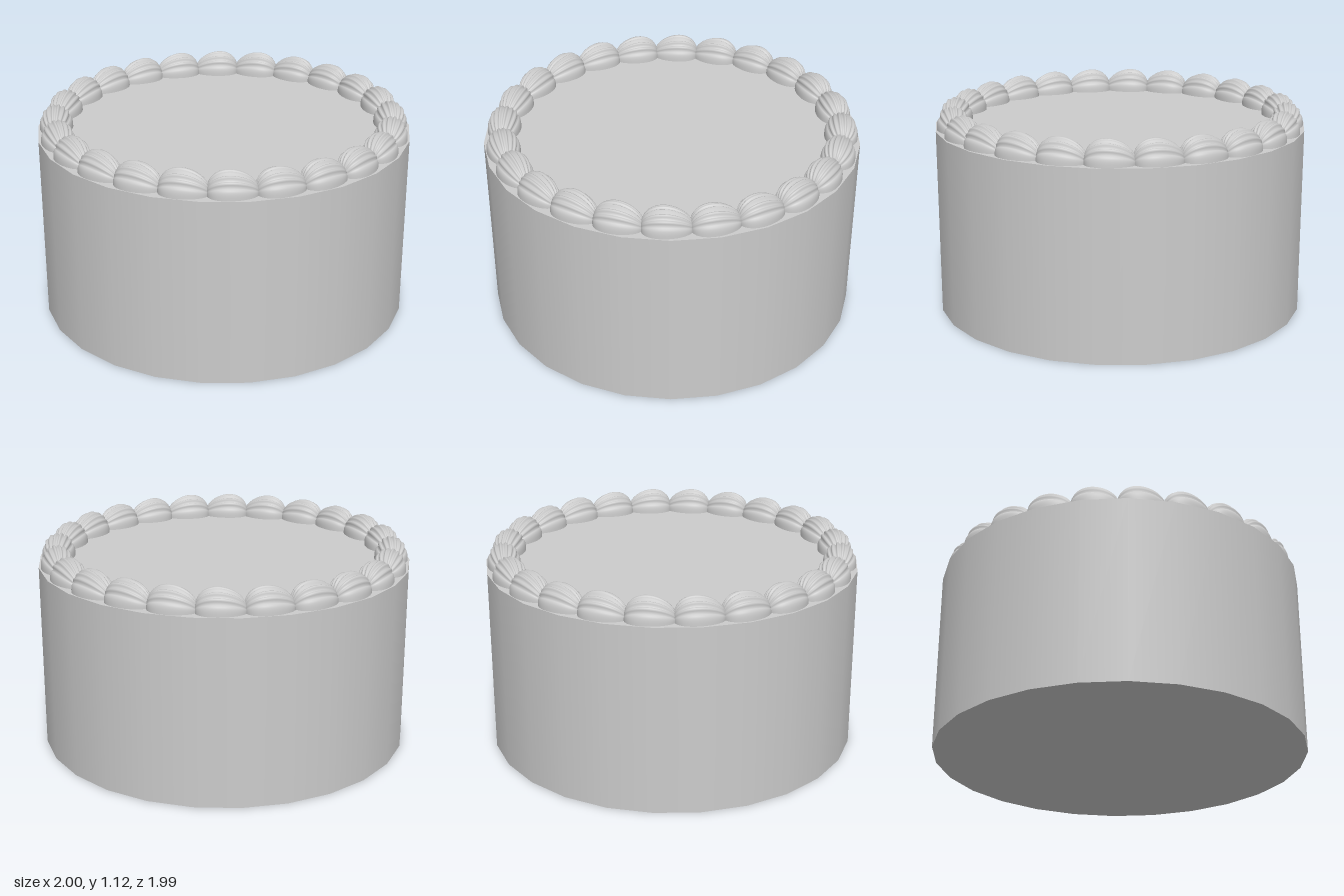
import * as THREE from 'three';
import { ParametricGeometry } from 'three/addons/geometries/ParametricGeometry.js';

const SHELLS = 24;      // piped shells around the rim
const SIDES = 26;       // sides of the cake
const GROOVE = 0.14;    // depth of the piping grooves
const RIB_START = Math.PI / 6;

// Cross-section radius: smooth flanks, six ribs across the top
function ribRadius(theta) {
  const fromEdge = Math.min(theta, Math.PI - theta);
  if (fromEdge < RIB_START) return 1 - GROOVE * Math.pow(fromEdge / RIB_START, 5);
  const k = (theta - RIB_START) / (Math.PI - 2 * RIB_START);
  return 1 - GROOVE * (1 - Math.abs(Math.sin(k * 6 * Math.PI)));
}

// One shell: x along the rim, z outward, fuller at its -x end
function shellGeometry() {
  const geometry = new ParametricGeometry((u, v, target) => {
    const t = -Math.cos(Math.PI * u);
    const theta = Math.PI * v;
    const swell = Math.pow(Math.max(0, 1 - t * t), 0.42);
    const r = ribRadius(theta) * swell * (1 - 0.12 * t);
    target.set(
      0.128 * t,
      0.122 * r * Math.pow(Math.sin(theta), 0.85),
      0.088 * r * Math.cos(theta)
    );
  }, 24, 36);
  geometry.computeVertexNormals();
  return geometry;
}

export function createModel() {
  const group = new THREE.Group();
  const material = new THREE.MeshStandardMaterial({ color: 0xcccccc });

  // Cake body, with a corner on the x axis
  const body = new THREE.Mesh(
    new THREE.CylinderGeometry(1, 1, 1, SIDES, 1, false, Math.PI / 2), material);
  body.name = 'cakeBody';
  body.position.y = 0.5;
  group.add(body);

  // Ring of piped shells
  const ring = new THREE.Group();
  ring.name = 'pipedBorder';
  const geometry = shellGeometry();
  for (let i = 0; i < SHELLS; i++) {
    const a = (i / SHELLS) * Math.PI * 2;
    const shell = new THREE.Mesh(geometry, material);
    shell.name = 'pipedShell';
    shell.position.set(0.9 * Math.sin(a), 1, 0.9 * Math.cos(a));
    shell.rotation.y = a;
    ring.add(shell);
  }
  group.add(ring);
  return group;
}
